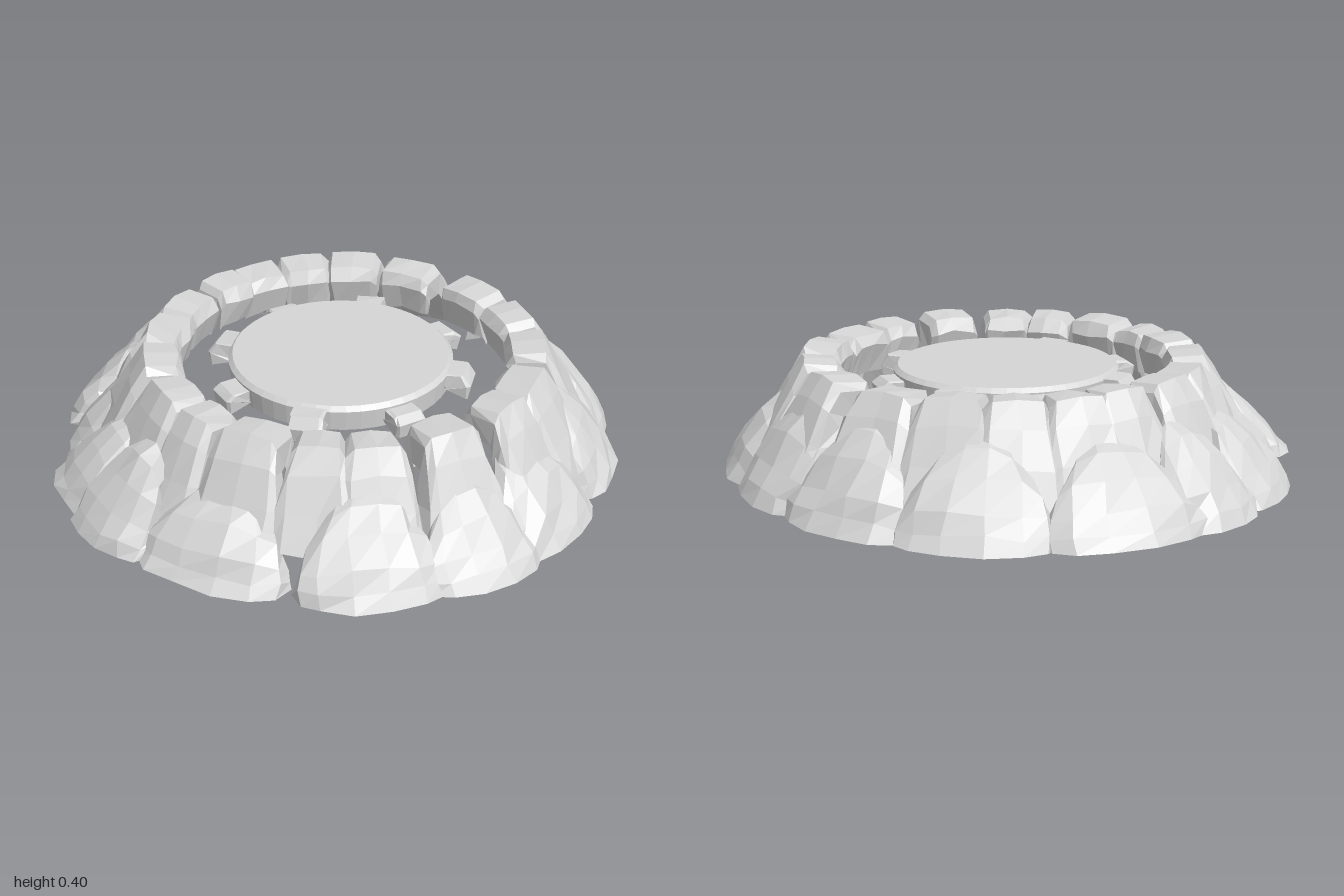
import * as THREE from 'three';

// Small seeded generator, returns -1..1
function makeNoise(seed) {
  return () => {
    seed = (seed * 1664525 + 1013904223) % 4294967296;
    return seed / 2147483648 - 1;
  };
}

const stone = new THREE.MeshStandardMaterial({ color: 0xd6d6d6, flatShading: true, side: THREE.DoubleSide });
stone.name = 'stone grey';

// Cross-section columns: position across the rock, and how far it falls to the core
const rimColumns = [[-1, 0.55], [-0.98, 0.13], [-0.76, 0], [0.05, -0.03], [0.78, 0], [0.98, 0.13], [1, 0.55]];
const boulderColumns = [[-1, 0.55], [-0.97, 0.31], [-0.74, 0.13], [-0.32, 0.02], [0.2, 0], [0.66, 0.1], [0.95, 0.29], [1, 0.55]];
const blockColumns = [[-1, 1], [-1, 0.08], [-0.85, 0], [0.85, 0], [1, 0.08], [1, 1]];

// Open rock shell: rows are [radius, height, half width], listed from the inside to the outer foot
function rockShell(rows, columns, core, rough, seed) {
  const noise = makeNoise(seed);
  const pos = [], idx = [], n = columns.length;
  rows.forEach(([r, y, w], i) => {
    columns.forEach(([s, fall]) => {
      const pr = r + (core[0] - r) * fall, py = y + (core[1] - y) * fall;
      const jy = y > 0.37 ? 0.2 : 1;
      pos.push(s * w + noise() * rough,
        y === 0 ? 0 : Math.max(0, py + noise() * rough * jy),
        pr + noise() * rough);
    });
    if (i === 0) return;
    for (let j = 0; j < n - 1; j++) {
      const a = (i - 1) * n + j, b = a + n;
      idx.push(a, b, a + 1, a + 1, b, b + 1);
    }
  });
  const geo = new THREE.BufferGeometry();
  geo.setAttribute('position', new THREE.Float32BufferAttribute(pos, 3));
  geo.setIndex(idx);
  geo.computeVertexNormals();
  return geo;
}

// Adds one rock to a group, turned to face outwards
function addRock(group, name, phi, geo) {
  const mesh = new THREE.Mesh(geo, stone);
  mesh.name = name;
  mesh.rotation.y = phi;
  group.add(mesh);
}

// Rim stones: x, z of the top, and its width
const rimStones = [
  [0, -0.66, 0.2], [0.22, -0.61, 0.18], [0.43, -0.52, 0.19], [0.59, -0.34, 0.2], [0.62, -0.16, 0.16],
  [0.64, 0.08, 0.18], [0.52, 0.27, 0.17], [0.43, 0.4, 0.16], [0.26, 0.5, 0.19], [0.08, 0.56, 0.14],
  [-0.09, 0.56, 0.19], [-0.3, 0.48, 0.2], [-0.49, 0.36, 0.18], [-0.57, 0.19, 0.18], [-0.61, -0.01, 0.16],
  [-0.6, -0.16, 0.18], [-0.57, -0.34, 0.18], [-0.44, -0.48, 0.19], [-0.27, -0.61, 0.19],
];

// Foot boulders: x, z of the outermost point, half width and height
const boulders = [
  [0.01, -0.99, 0.21, 0.32], [0.42, -0.91, 0.23, 0.3], [0.77, -0.63, 0.21, 0.31], [0.97, -0.2, 0.22, 0.28],
  [0.99, 0.14, 0.21, 0.26], [0.84, 0.52, 0.23, 0.28], [0.4, 0.87, 0.25, 0.24], [-0.02, 0.99, 0.18, 0.28],
  [-0.31, 0.92, 0.19, 0.24], [-0.6, 0.69, 0.16, 0.28], [-0.83, 0.51, 0.2, 0.26], [-0.97, 0.2, 0.19, 0.28],
  [-0.99, -0.16, 0.26, 0.27], [-0.78, -0.63, 0.24, 0.29], [-0.4, -0.91, 0.23, 0.31],
];

export function createModel() {
  const model = new THREE.Group();
  model.name = 'stoneRing';
  const cx = 0.016, cz = -0.043;

  const rim = new THREE.Group();
  rim.name = 'rimStones';
  rim.position.set(cx, 0, cz);
  rimStones.forEach(([x, z, width], i) => {
    const w = width / 2;
    const top = 0.38 + (i % 3) * 0.004;
    const rows = [
      [0.575, 0.23, w * 0.95], [0.547, 0.33, w], [0.57, top - 0.01, w * 1.02], [0.68, top, w * 1.1],
      [0.73, 0.31, w * 1.3], [0.79, 0.2, w * 1.5], [0.85, 0.09, w * 1.65],
    ];
    addRock(rim, 'rimStone', Math.atan2(x - cx, z - cz), rockShell(rows, rimColumns, [0.65, 0.18], 0.007, 11 + i * 97));
  });
  model.add(rim);

  const foot = new THREE.Group();
  foot.name = 'footBoulders';
  boulders.forEach(([x, z, w, h], i) => {
    const R = Math.hypot(x, z);
    const rows = [
      [R - 0.27, h, w * 0.48], [R - 0.21, h * 0.9, w * 0.64], [R - 0.14, h * 0.68, w * 0.83],
      [R - 0.07, h * 0.38, w * 0.96], [R - 0.03, h * 0.17, w], [R, 0, w * 1.03],
    ];
    addRock(foot, 'footBoulder', Math.atan2(x, z), rockShell(rows, boulderColumns, [R - 0.22, 0.02], 0.009, 501 + i * 131));
  });
  model.add(foot);

  // Central platform: open-bottomed round cap with a bevelled edge
  const platform = new THREE.Group();
  platform.name = 'platform';
  platform.position.set(0.008, 0, -0.037);
  const profile = [[0.378, 0.26], [0.385, 0.33], [0.37, 0.345], [0, 0.345]].map(p => new THREE.Vector2(...p));
  const cap = new THREE.Mesh(new THREE.LatheGeometry(profile, 48), stone);
  cap.name = 'platformCap';
  platform.add(cap);

  // Eight small open blocks around the platform edge
  for (let i = 0; i < 8; i++) {
    const tilt = i % 2 ? 0.008 : -0.008;
    const rows = [
      [0.375, 0.33 + tilt, 0.052], [0.435, 0.327 + tilt, 0.054], [0.46, 0.3, 0.057], [0.452, 0.25, 0.052],
    ];
    addRock(platform, 'edgeBlock', THREE.MathUtils.degToRad(170 - 45 * i),
      rockShell(rows, blockColumns, [0.375, 0.28], 0.004, 907 + i * 53));
  }
  model.add(platform);
  return model;
}
